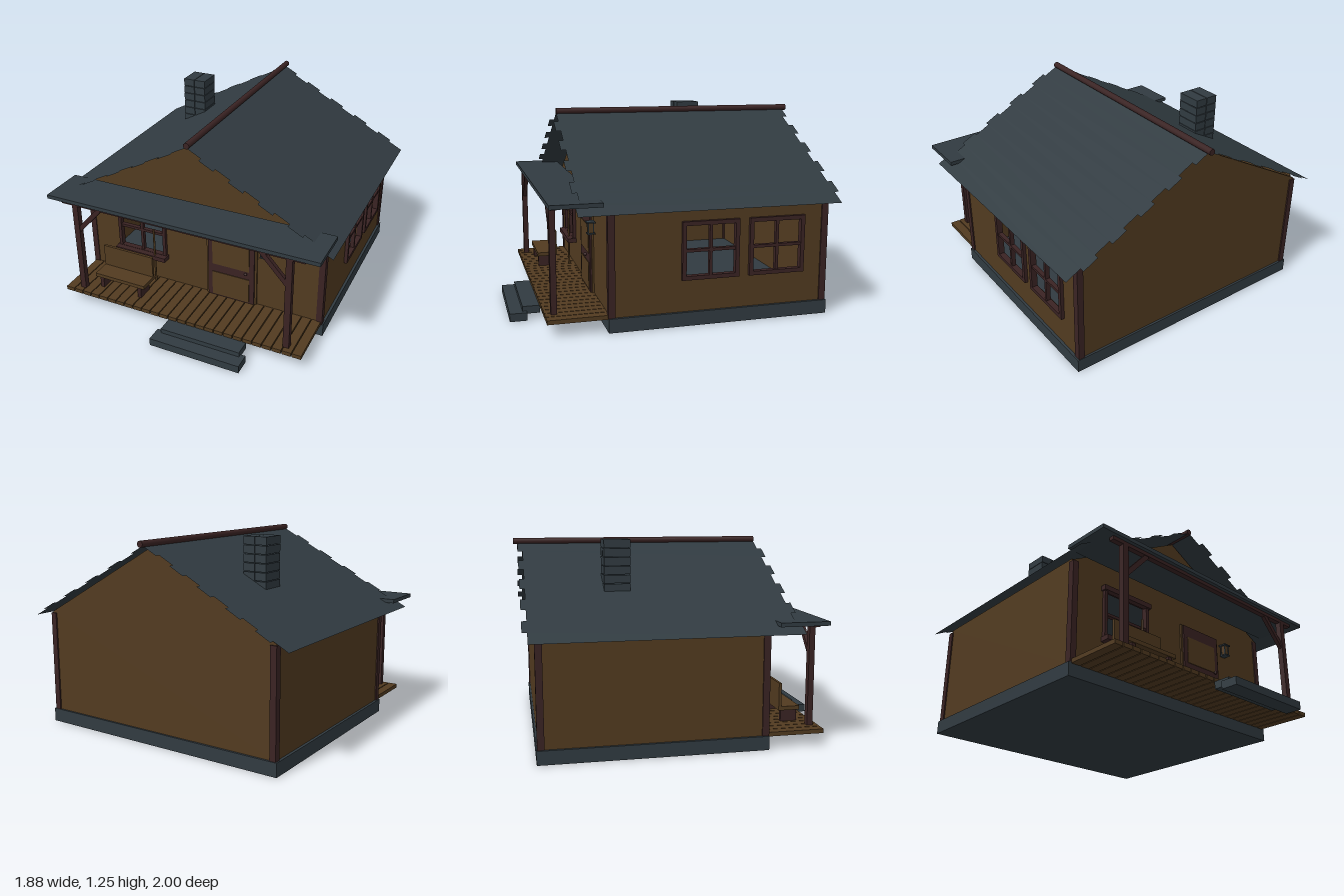
import * as THREE from 'three';

export function createModel() {
  const root = new THREE.Group();
  root.name = 'cabin';
  const mat = (name, color, side = THREE.FrontSide) => {
    const m = new THREE.MeshStandardMaterial({ color, side });
    m.name = name;
    return m;
  };
  const plank = mat('brown plank', 0x523b20);
  const timber = mat('dark timber', 0x3a2323);
  const slate = mat('slate', 0x313b41, THREE.DoubleSide);

  const group = (name, parent = root) => {
    const g = new THREE.Group();
    g.name = name;
    parent.add(g);
    return g;
  };
  const add = (name, geo, m, parent = root) => {
    const mesh = new THREE.Mesh(geo, m);
    mesh.name = name;
    parent.add(mesh);
    return mesh;
  };
  // Box given by its limits on each axis
  const box = (name, m, [x0, x1], [y0, y1], [z0, z1], parent = root) => {
    const mesh = add(name, new THREE.BoxGeometry(x1 - x0, y1 - y0, z1 - z0), m, parent);
    mesh.position.set((x0 + x1) / 2, (y0 + y1) / 2, (z0 + z1) / 2);
    return mesh;
  };
  // Upright wall from an outline, with rectangular openings [x0, x1, y0, y1]
  const wall = (name, outline, openings) => {
    const shape = new THREE.Shape(outline.map(p => new THREE.Vector2(...p)));
    for (const [x0, x1, y0, y1] of openings) {
      shape.holes.push(new THREE.Path([[x0, y0], [x0, y1], [x1, y1], [x1, y0]].map(p => new THREE.Vector2(...p))));
    }
    return add(name, new THREE.ExtrudeGeometry(shape, { depth: 0.02, bevelEnabled: false }), plank);
  };

  // Foundation and hollow walls
  box('foundation', slate, [-0.855, 0.855], [0, 0.085], [-0.913, 0.465]);
  const gable = [[-0.84, 0.085], [0.84, 0.085], [0.84, 0.737], [0, 1.2], [-0.84, 0.737]];
  wall('frontWall', gable, [[-0.6, -0.265, 0.29, 0.62]]).position.z = 0.44;
  wall('backWall', gable, []).position.z = -0.9;
  const sideOutline = [[-0.44, 0.085], [0.88, 0.085], [0.88, 0.75], [-0.44, 0.75]];
  const sideWindows = [-0.025, 0.395];
  const rightWall = wall('rightWall', sideOutline, sideWindows.map(s => [s + 0.02, s + 0.335, 0.3, 0.615]));
  rightWall.rotation.y = Math.PI / 2;
  rightWall.position.x = 0.818;
  const leftWall = wall('leftWall', sideOutline, []);
  leftWall.rotation.y = Math.PI / 2;
  leftWall.position.x = -0.838;

  // Corner posts
  for (const s of [-1, 1]) {
    for (const z of [0.445, -0.888]) {
      box('cornerPost', timber, [s * 0.826 - 0.02, s * 0.826 + 0.02], [0.085, 0.73], [z - 0.021, z + 0.021]);
    }
  }

  // Roof: thin shingle rows alternately shifted fore and aft
  const rows = 10, run = 0.94, rise = 0.5, length = Math.hypot(run, rise);
  const rowGeo = new THREE.PlaneGeometry(length / rows, 1.595).rotateX(-Math.PI / 2);
  for (const s of [-1, 1]) {
    const slope = group('roofSlope');
    for (let i = 0; i < rows; i++) {
      const t = (i + 0.5) / rows;
      const row = add('shingleRow', rowGeo, slate, slope);
      row.position.set(s * run * t, 1.212 - rise * t, i % 2 ? -0.1475 : -0.1775);
      row.rotation.z = -s * Math.atan2(rise, run);
    }
  }
  const ridge = add('ridgePole', new THREE.CylinderGeometry(0.02, 0.02, 1.62, 12).rotateX(Math.PI / 2), timber);
  ridge.position.set(0, 1.223, -0.19);

  // Chimney of stacked blocks with open joints
  const chimney = group('chimney');
  for (let i = 0; i < 8; i++) {
    const y = 1.25 - (i + 1) * 0.053;
    for (const x of [-0.51, -0.428]) {
      box('chimneyBlock', slate, [x, x + 0.078], [y + 0.004, y + 0.053], [-0.475, -0.315], chimney);
    }
  }

  // Porch: deck boards, roof, beam, posts and braces
  const porch = group('porch');
  const boards = 26, pitch = 1.68 / boards;
  for (let i = 0; i < boards; i++) {
    const x = -0.84 + i * pitch;
    box('deckBoard', plank, [x + 0.003, x + pitch - 0.003], [0.078, 0.104], [0.45, 0.818], porch);
  }
  box('porchRoof', slate, [-0.915, 0.915], [0.755, 0.78], [0.5, 0.805], porch);
  box('porchBeam', timber, [-0.82, 0.82], [0.732, 0.755], [0.748, 0.782], porch);
  for (const s of [-1, 1]) {
    box('porchPost', timber, [s * 0.725 - 0.02, s * 0.725 + 0.02], [0.104, 0.74], [0.747, 0.783], porch);
    const brace = add('porchBrace', new THREE.BoxGeometry(0.03, 0.25, 0.026), timber, porch);
    brace.position.set(s * 0.635, 0.642, 0.765);
    brace.rotation.z = -Math.atan2(-s * 0.165, -0.18) + Math.PI;
    brace.rotation.z = s * 0.74;
  }
  // Stone steps
  box('lowerStep', slate, [-0.093, 0.513], [0, 0.05], [0.895, 1]);
  box('upperStep', slate, [-0.057, 0.48], [0.033, 0.08], [0.815, 0.92]);

  // Open window frame with cross bars, built facing +z around its centre
  const windowFrame = (name, w, h, edge, depth) => {
    const g = group(name);
    const a = w / 2, b = h / 2, d = [-0.015, depth], bar = [-0.009, 0.009];
    for (const s of [-1, 1]) {
      const x = s * (a - edge / 2), y = s * (b - edge / 2);
      box('stile', timber, [x - edge / 2, x + edge / 2], [-b, b], d, g);
      box('rail', timber, [-a, a], [y - edge / 2, y + edge / 2], d, g);
    }
    box('uprightBar', timber, bar, [-b, b], [-0.012, depth - 0.006], g);
    box('crossBar', timber, [-a, a], bar, [-0.012, depth - 0.006], g);
    return g;
  };
  for (const s of sideWindows) {
    const g = windowFrame('sideWindow', 0.355, 0.352, 0.025, 0.022);
    g.rotation.y = Math.PI / 2;
    g.position.set(0.838, 0.457, -(s + 0.1775));
  }
  const front = windowFrame('frontWindow', 0.36, 0.35, 0.022, 0.022);
  front.position.set(-0.433, 0.46, 0.46);
  box('lintel', timber, [-0.19, 0.19], [0.148, 0.18], [0, 0.035], front);
  box('sill', timber, [-0.19, 0.19], [-0.185, -0.155], [0, 0.06], front);

  // Door with trim, two panels and a knob
  const door = group('door');
  box('doorTrim', plank, [0.048, 0.4], [0.104, 0.61], [0.458, 0.472], door);
  box('doorLeaf', timber, [0.062, 0.386], [0.106, 0.606], [0.458, 0.482], door);
  for (const y of [[0.115, 0.29], [0.35, 0.53]]) {
    box('doorPanel', plank, [0.094, 0.352], y, [0.48, 0.486], door);
  }
  const knob = add('doorKnob', new THREE.SphereGeometry(0.011, 12, 8), timber, door);
  knob.position.set(0.335, 0.342, 0.502);

  // Wall lantern
  const lantern = group('lantern');
  box('lanternTop', slate, [0.428, 0.486], [0.572, 0.58], [0.465, 0.517], lantern);
  box('lanternBase', slate, [0.434, 0.48], [0.5, 0.508], [0.465, 0.513], lantern);
  box('lanternBody', plank, [0.443, 0.471], [0.508, 0.572], [0.475, 0.505], lantern);
  for (const x of [0.439, 0.475]) {
    for (const z of [0.474, 0.506]) {
      box('lanternRod', slate, [x - 0.003, x + 0.003], [0.508, 0.572], [z - 0.003, z + 0.003], lantern);
    }
  }

  // Bench and a pole leaning behind it
  const bench = group('bench');
  box('benchSeat', plank, [-0.655, -0.285], [0.182, 0.207], [0.61, 0.73], bench);
  box('benchBack', plank, [-0.655, -0.285], [0.182, 0.357], [0.594, 0.611], bench);
  for (const x of [-0.613, -0.327]) {
    box('benchLeg', timber, [x - 0.013, x + 0.013], [0.104, 0.182], [0.617, 0.722], bench);
  }
  const pole = add('pole', new THREE.CylinderGeometry(0.007, 0.007, 0.4, 8), plank);
  pole.position.set(-0.328, 0.304, 0.5);

  return root;
}
